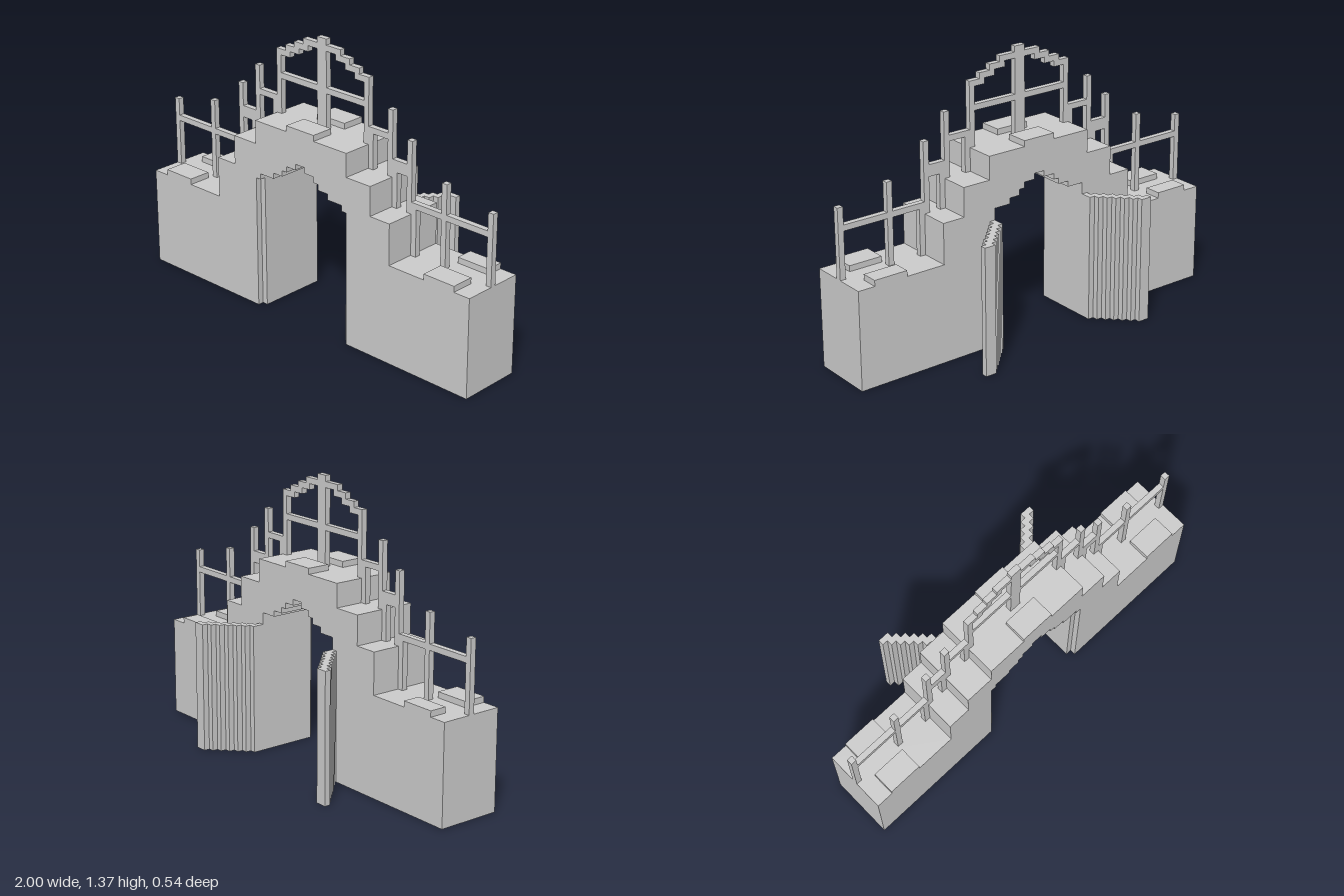
import * as THREE from 'three';

// Everything sits on a block grid, 35 blocks to the unit.
const U = 1 / 35;
const mat = new THREE.MeshStandardMaterial({ color: 0xcccccc, flatShading: true });

// Box between two grid corners
function block(parent, name, x0, x1, y0, y1, z0, z1) {
  const mesh = new THREE.Mesh(new THREE.BoxGeometry((x1 - x0) * U, (y1 - y0) * U, (z1 - z0) * U), mat);
  mesh.position.set((x0 + x1) / 2 * U, (y0 + y1) / 2 * U, (z0 + z1) / 2 * U);
  mesh.name = name;
  parent.add(mesh);
}

// Same box on both sides of x = 0
function pair(parent, name, x0, x1, ...rest) {
  block(parent, name + 'Left', x0, x1, ...rest);
  block(parent, name + 'Right', -x1, -x0, ...rest);
}

export function createModel() {
  const model = new THREE.Group();
  const back = -1.5, front = 9.5;

  // Stepped wall with stepped archway
  const half = [
    [1, 28], [1, 27], [3, 27], [3, 26], [4, 26], [4, 25], [6, 25], [6, 24], [9, 24], [9, 23], [10, 23], [10, 0],
    [35, 0], [35, 17], [19, 17], [19, 24], [15, 24], [15, 29], [10, 29], [10, 33],
  ];
  const outline = [...half, ...half.map(([x, y]) => [-x, y]).reverse()];
  const shape = new THREE.Shape(outline.map(([x, y]) => new THREE.Vector2(x * U, y * U)));
  const wall = new THREE.Mesh(
    new THREE.ExtrudeGeometry(shape, { depth: (front - back) * U, bevelEnabled: false }), mat);
  wall.position.z = back * U;
  wall.name = 'wall';
  model.add(wall);

  // Raised slabs on the wall top
  const slabs = new THREE.Group();
  slabs.name = 'slabs';
  pair(slabs, 'frontSlab', 26, 32, 17, 18, 5.5, front);
  pair(slabs, 'backSlab', 26, 32, 17, 18, back, 1.5);
  block(slabs, 'topFrontSlab', -3, 3, 33, 34, 5.5, front);
  block(slabs, 'topBackSlab', -3, 3, 33, 34, back, 2.5);
  model.add(slabs);

  // Railing: posts as [x0, x1, y0, y1]
  const railing = new THREE.Group();
  railing.name = 'railing';
  const z = [3.5, 4.5];
  const posts = [
    [34, 35, 17, 29], [25, 26, 17, 31], [18, 19, 24, 36], [14, 15, 29, 40], [9, 10, 33, 44],
    [19, 20, 17, 26], [15, 16, 24, 32], [10, 11, 29, 36],
  ];
  posts.forEach(p => pair(railing, 'post', ...p, ...z));
  const rails = [[26, 34, 25, 26], [20, 25, 25, 26], [16, 18, 30, 32], [11, 14, 35, 36], [1, 9, 39, 40]];
  rails.forEach(r => pair(railing, 'rail', ...r, ...z));
  block(railing, 'centrePost', -1, 1, 33, 48, ...z);
  // Stepped arch over the centre
  [[7, 9], [5, 8], [3, 6], [1, 4]].forEach(([a, b], i) =>
    pair(railing, 'archStep', a, b, 43 + i, 44 + i, ...z));
  model.add(railing);

  // Jambs lining the archway
  pair(model, 'jamb', 9, 10, 0, 23, back, 8.5);

  // Open doors running diagonally backward in steps
  const doors = new THREE.Group();
  doors.name = 'doors';
  for (let i = 0; i < 8; i++) {
    pair(doors, 'doorStrip', 9 + Math.max(0, i - 1), 10 + i, 0, 22, back - i - 1, back - i);
  }
  model.add(doors);

  return model;
}
